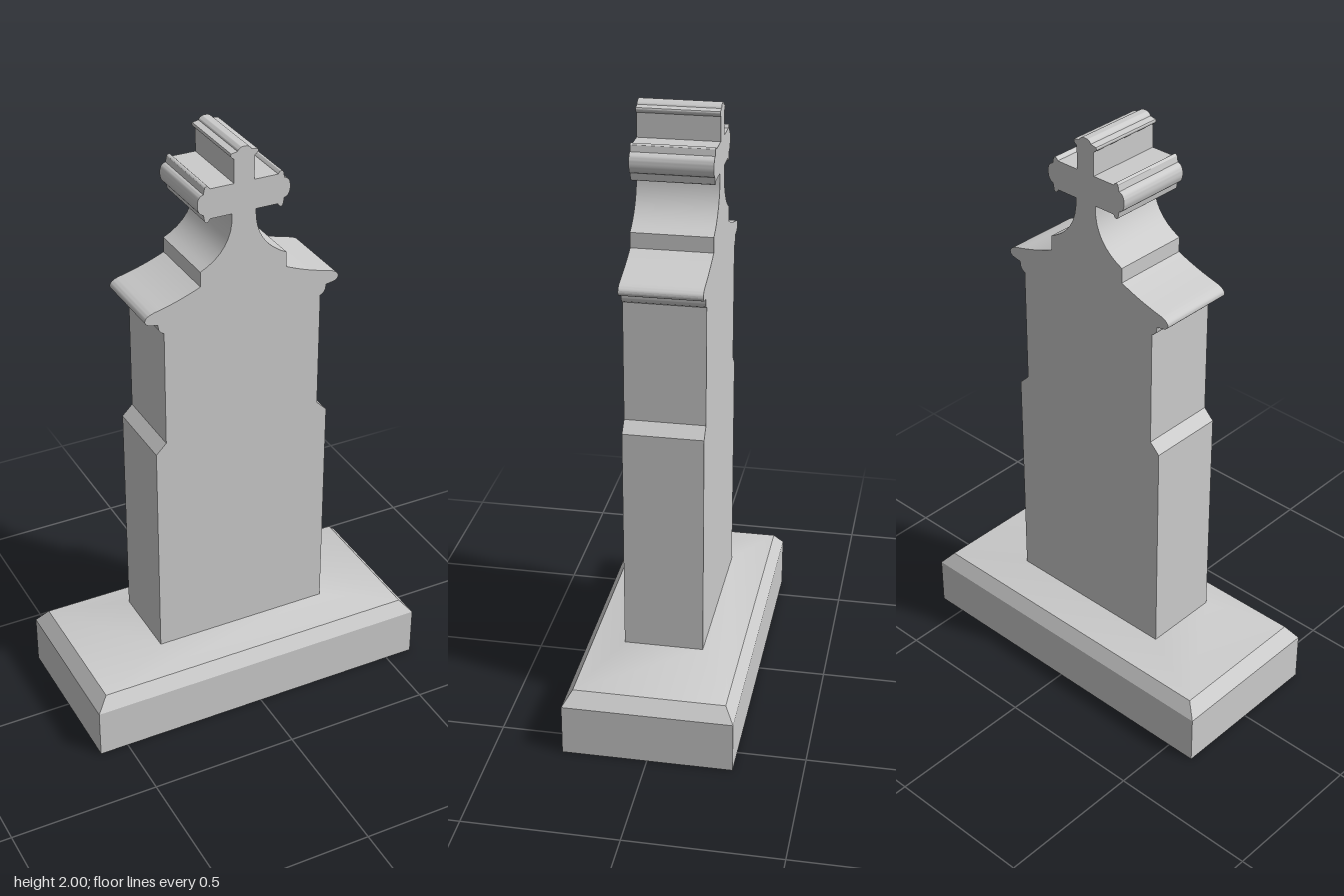
import * as THREE from 'three';
import { toCreasedNormals } from 'three/addons/utils/BufferGeometryUtils.js';

const material = new THREE.MeshStandardMaterial({ color: 0xcccccc });

function addMesh(group, geometry, name) {
  const mesh = new THREE.Mesh(toCreasedNormals(geometry, 0.5), material);
  mesh.name = name;
  group.add(mesh);
}

// Closed solid from rectangular cross-sections [halfWidth, y, halfDepth], bottom to top
function rectangularLoft(sections) {
  const positions = [];
  const indices = [];
  for (const [w, y, d] of sections) {
    positions.push(-w, y, d, w, y, d, w, y, -d, -w, y, -d);
  }
  for (let s = 0; s < sections.length - 1; s++) {
    for (let i = 0; i < 4; i++) {
      const a = s * 4 + i;
      const b = s * 4 + (i + 1) % 4;
      indices.push(a, b, b + 4, a, b + 4, a + 4);
    }
  }
  indices.push(0, 2, 1, 0, 3, 2);
  const geometry = new THREE.BufferGeometry();
  geometry.setAttribute('position', new THREE.Float32BufferAttribute(positions, 3));
  geometry.setIndex(indices);
  return geometry;
}

// Half of the headstone outline, from the foot up to the tip of the cross
function halfOutline() {
  const p = new THREE.Path();
  // Shaft with a sloped shoulder
  p.moveTo(0.305, 0.25);
  p.lineTo(0.305, 1.01);
  p.lineTo(0.27, 1.045);
  p.lineTo(0.27, 1.44);
  // Cornice moulding
  p.lineTo(0.281, 1.447);
  p.quadraticCurveTo(0.29, 1.456, 0.289, 1.474);
  p.lineTo(0.312, 1.478);
  p.quadraticCurveTo(0.333, 1.482, 0.333, 1.496);
  p.quadraticCurveTo(0.331, 1.512, 0.3, 1.52);
  p.quadraticCurveTo(0.22, 1.538, 0.147, 1.57);
  // Swept neck
  p.lineTo(0.147, 1.62);
  p.bezierCurveTo(0.075, 1.653, 0.037, 1.71, 0.04, 1.79);
  // Arm of the cross
  p.lineTo(0.113, 1.79);
  p.quadraticCurveTo(0.122, 1.772, 0.131, 1.784);
  p.lineTo(0.135, 1.806);
  p.quadraticCurveTo(0.155, 1.81, 0.155, 1.841);
  p.quadraticCurveTo(0.155, 1.868, 0.135, 1.872);
  p.lineTo(0.131, 1.892);
  p.quadraticCurveTo(0.122, 1.903, 0.113, 1.887);
  p.lineTo(0.034, 1.887);
  // Top of the cross
  p.lineTo(0.034, 1.965);
  p.quadraticCurveTo(0.05, 1.973, 0.044, 1.983);
  p.lineTo(0.023, 1.987);
  p.quadraticCurveTo(0.018, 2, 0, 2);
  return p.getPoints(8);
}

export function createModel() {
  const group = new THREE.Group();
  group.name = 'gravestone';

  // Plinth: block, chamfer, and gently sloped top
  addMesh(group, rectangularLoft([
    [0.597, 0, 0.277],
    [0.597, 0.17, 0.277],
    [0.558, 0.215, 0.247],
    [0.305, 0.25, 0.13],
  ]), 'plinth');

  // Headstone: mirrored outline extruded through its thickness
  const right = halfOutline();
  const left = right.slice(0, -1).reverse().map((v) => new THREE.Vector2(-v.x, v.y));
  const headstone = new THREE.ExtrudeGeometry(new THREE.Shape([...right, ...left]), {
    depth: 0.26,
    bevelEnabled: false,
  });
  headstone.translate(0, 0, -0.13);
  addMesh(group, headstone, 'headstone');

  return group;
}
